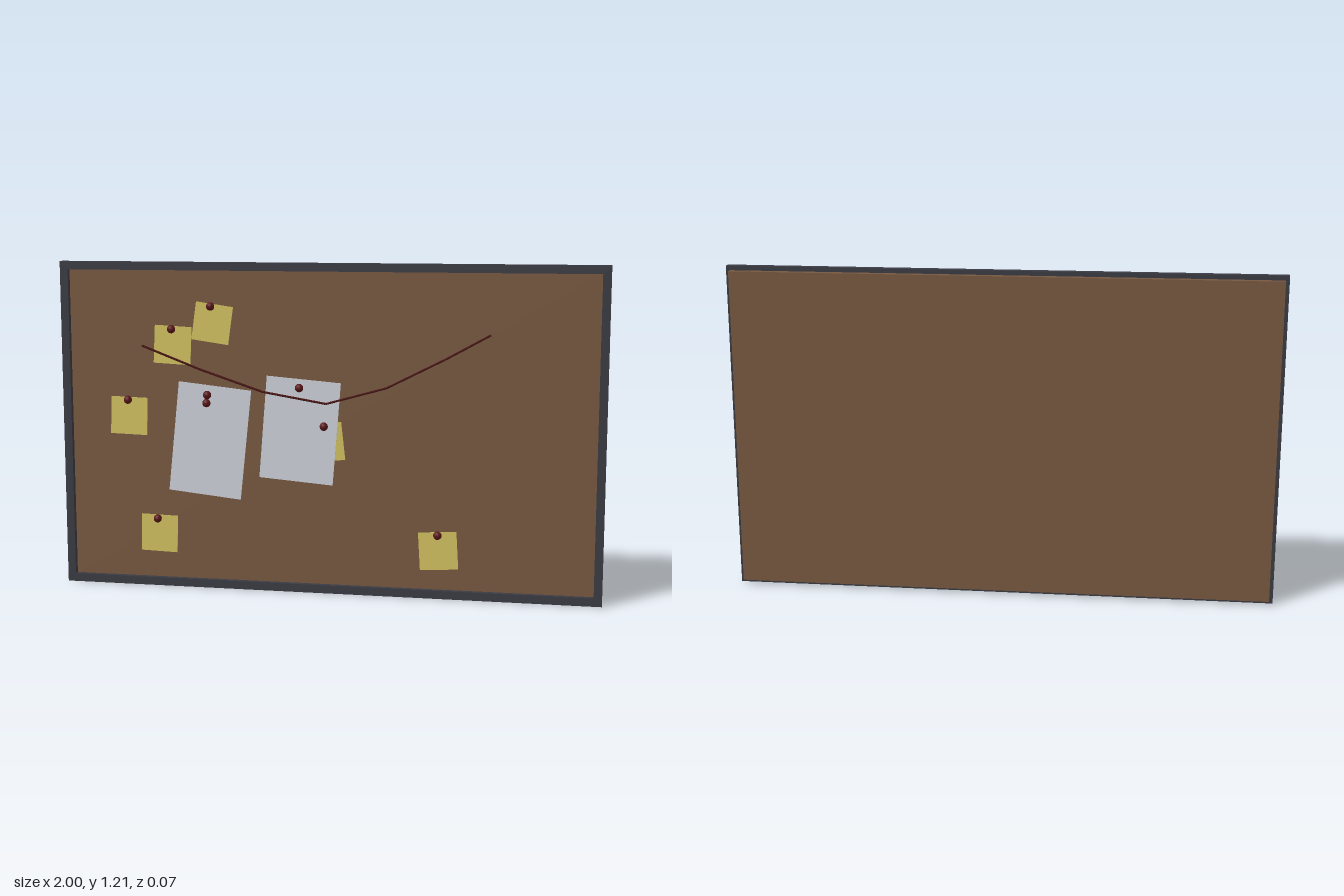
import * as THREE from 'three';

const mat = (name, color, side = THREE.FrontSide) => {
  const m = new THREE.MeshStandardMaterial({ color, side });
  m.name = name;
  return m;
};

export function createModel() {
  const group = new THREE.Group();
  const cork = mat('brown cork', 0x775840);
  const trim = mat('dark frame', 0x3a3a43);
  const white = mat('white paper', 0xcdd1d9);
  const yellow = mat('yellow note', 0xd2c160);
  const red = mat('dark red pin', 0x5a1618);
  const thread = mat('dark red string', 0x481010);

  const add = (name, geometry, material, x = 0, y = 0, z = 0) => {
    const mesh = new THREE.Mesh(geometry, material);
    mesh.name = name;
    mesh.position.set(x, y, z);
    group.add(mesh);
    return mesh;
  };

  // Backing board, slightly smaller than the frame
  add('board', new THREE.BoxGeometry(1.97, 1.18, 0.035), cork, 0, 0.606, -0.0155);

  // Frame: rectangle with a rectangular opening
  const W = 1, H = 0.606, bar = 0.03;
  const rect = (Type, w, h) => new Type([
    new THREE.Vector2(-w, -h), new THREE.Vector2(w, -h),
    new THREE.Vector2(w, h), new THREE.Vector2(-w, h),
  ]);
  const outline = rect(THREE.Shape, W, H);
  outline.holes.push(rect(THREE.Path, W - bar, H - bar));
  add('frame', new THREE.ExtrudeGeometry(outline, { depth: 0.029, bevelEnabled: false }),
    trim, 0, H, -0.007);

  // Sheets: x, y, width, height, tilt, z
  const sheet = (name, material, [x, y, w, h, tilt, z]) => {
    add(name, new THREE.BoxGeometry(w, h, 0.002), material, x, y, z).rotation.z = tilt;
  };
  [
    [-0.427, 0.99, 0.14, 0.14, -0.14, 0.005],
    [-0.577, 0.908, 0.14, 0.14, -0.05, 0.008],
    [-0.75, 0.641, 0.14, 0.14, -0.03, 0.005],
    [-0.64, 0.198, 0.14, 0.14, -0.03, 0.005],
    [0.41, 0.175, 0.14, 0.14, 0.06, 0.005],
    [-0.01, 0.562, 0.14, 0.14, 0.11, 0.005],
  ].forEach((s) => sheet('stickyNote', yellow, s));
  [
    [-0.44, 0.556, 0.275, 0.41, -0.105, 0.008],
    [-0.101, 0.603, 0.275, 0.378, -0.08, 0.008],
  ].forEach((s) => sheet('paperSheet', white, s));

  // Push pins: round head on a short stem
  const head = new THREE.SphereGeometry(0.0155, 12, 8);
  const stem = new THREE.CylinderGeometry(0.006, 0.006, 0.02, 8).rotateX(Math.PI / 2);
  [
    [-0.43, 1.052], [-0.579, 0.967], [-0.75, 0.702], [-0.446, 0.727], [-0.449, 0.697],
    [-0.101, 0.761], [-0.01, 0.622], [-0.643, 0.256], [0.408, 0.235],
  ].forEach(([x, y]) => {
    add('pinHead', head, red, x, y, 0.018);
    add('pinStem', stem, red, x, y, 0.01);
  });

  // Sagging string made of straight lengths
  const points = [
    [-0.69, 0.905, 0.022], [-0.47, 0.822, 0.025], [-0.235, 0.745, 0.027],
    [0, 0.707, 0.029], [0.22, 0.769, 0.026], [0.43, 0.876, 0.023], [0.59, 0.965, 0.021],
  ].map((p) => new THREE.Vector3(...p));
  for (let i = 0; i < points.length - 1; i++) {
    const line = new THREE.LineCurve3(points[i], points[i + 1]);
    add('string', new THREE.TubeGeometry(line, 1, 0.0042, 6), thread);
  }

  return group;
}
